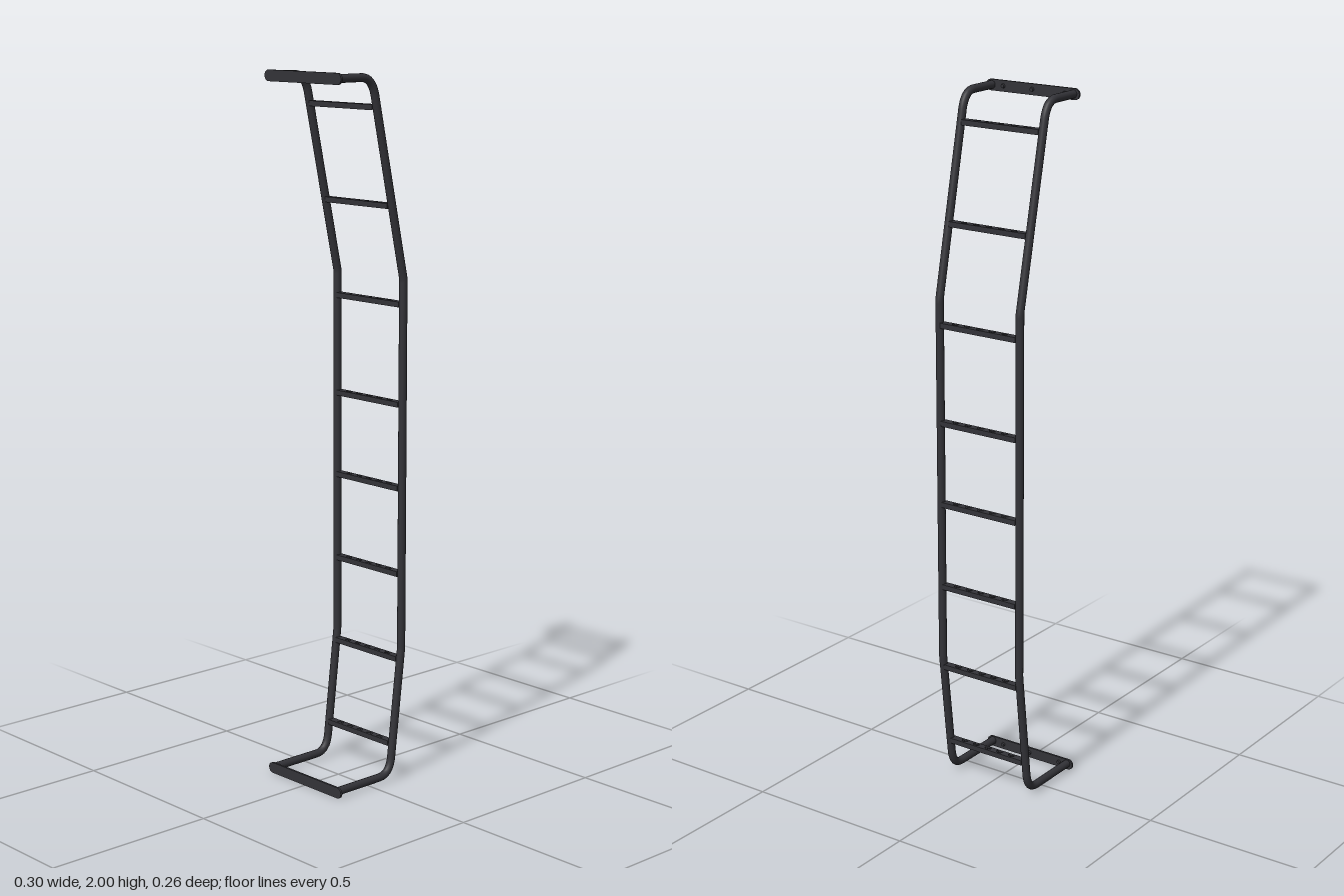
import * as THREE from 'three';

const RAIL_X = 0.133, RAIL_R = 0.0115;
const material = new THREE.MeshStandardMaterial({ color: 0x333338, side: THREE.DoubleSide });

function part(name, geometry, x = 0, y = 0, z = 0) {
  const mesh = new THREE.Mesh(geometry, material);
  mesh.name = name;
  mesh.position.set(x, y, z);
  return mesh;
}

// Side profile of a rail: straight runs joined by rounded elbows, [z, y]
function railPath() {
  const v = (z, y) => new THREE.Vector3(0, y, z);
  const path = new THREE.CurvePath();
  path.add(new THREE.LineCurve3(v(0.126, 1.985), v(0.04, 1.985)));
  path.add(new THREE.QuadraticBezierCurve3(v(0.04, 1.985), v(0.001, 1.985), v(-0.01, 1.935)));
  path.add(new THREE.LineCurve3(v(-0.01, 1.935), v(-0.119, 1.437)));
  path.add(new THREE.LineCurve3(v(-0.119, 1.437), v(-0.119, 0.385)));
  path.add(new THREE.LineCurve3(v(-0.119, 0.385), v(-0.082, 0.07)));
  path.add(new THREE.QuadraticBezierCurve3(v(-0.082, 0.07), v(-0.076, 0.018), v(-0.035, 0.018)));
  path.add(new THREE.LineCurve3(v(-0.035, 0.018), v(0.126, 0.018)));
  return path;
}

// Depth of the rail centre at a given height
function railZ(y) {
  if (y > 1.437) return THREE.MathUtils.mapLinear(y, 1.437, 1.935, -0.119, -0.01);
  if (y < 0.385) return THREE.MathUtils.mapLinear(y, 0.07, 0.385, -0.082, -0.119);
  return -0.119;
}

// Tread: a plate with five arched grip slots and a flange along each edge
function makeRung(y) {
  const rung = new THREE.Group();
  rung.name = 'rung';
  const w = 0.125, d = 0.011, t = 0.003, h = 0.015;
  const shape = new THREE.Shape();
  shape.moveTo(-w, -d).lineTo(w, -d).lineTo(w, d).lineTo(-w, d).closePath();
  for (let i = -2; i <= 2; i++) {
    const slot = new THREE.Path();
    slot.absarc(i * 0.041, -0.005, 0.0105, 0, Math.PI, false);
    slot.absarc(i * 0.041, -0.005, 0.005, Math.PI, 0, true);
    slot.closePath();
    shape.holes.push(slot);
  }
  const plate = new THREE.ExtrudeGeometry(shape, { depth: t, bevelEnabled: false, curveSegments: 10 });
  plate.rotateX(-Math.PI / 2);
  rung.add(part('treadPlate', plate, 0, h / 2 - t, 0));
  for (const s of [-1, 1]) {
    rung.add(part('treadFlange', new THREE.BoxGeometry(2 * w, h - t, t), 0, -t / 2, s * (d - t / 2)));
  }
  rung.position.set(0, y, railZ(y));
  return rung;
}

// Round-ended mounting plate with bolts on its back
function makeMount(name, y) {
  const mount = new THREE.Group();
  mount.name = name;
  const r = 0.0155, a = 0.152 - r;
  const shape = new THREE.Shape();
  shape.absarc(a, 0, r, -Math.PI / 2, Math.PI / 2, false);
  shape.absarc(-a, 0, r, Math.PI / 2, Math.PI * 1.5, false);
  shape.closePath();
  const plate = new THREE.ExtrudeGeometry(shape, { depth: 0.006, bevelEnabled: false, curveSegments: 16 });
  mount.add(part('mountPlate', plate, 0, 0, 0.125));
  for (const x of [-0.105, 0, 0.095]) {
    const bolt = new THREE.CylinderGeometry(0.0065, 0.005, 0.006, 12).rotateX(Math.PI / 2);
    mount.add(part('bolt', bolt, x, 0, 0.123));
  }
  mount.position.y = y;
  return mount;
}

export function createModel() {
  const model = new THREE.Group();
  model.name = 'ladder';

  // Bent side rails
  const rail = new THREE.TubeGeometry(railPath(), 200, RAIL_R, 16, false);
  model.add(part('leftRail', rail, RAIL_X), part('rightRail', rail, -RAIL_X));

  // Rungs
  for (const y of [0.108, 0.352, 0.6, 0.847, 1.085, 1.365, 1.638, 1.905]) model.add(makeRung(y));

  // Mounting plates at both ends of the rails
  model.add(makeMount('topMount', 1.9845), makeMount('bottomMount', 0.0155));
  return model;
}
